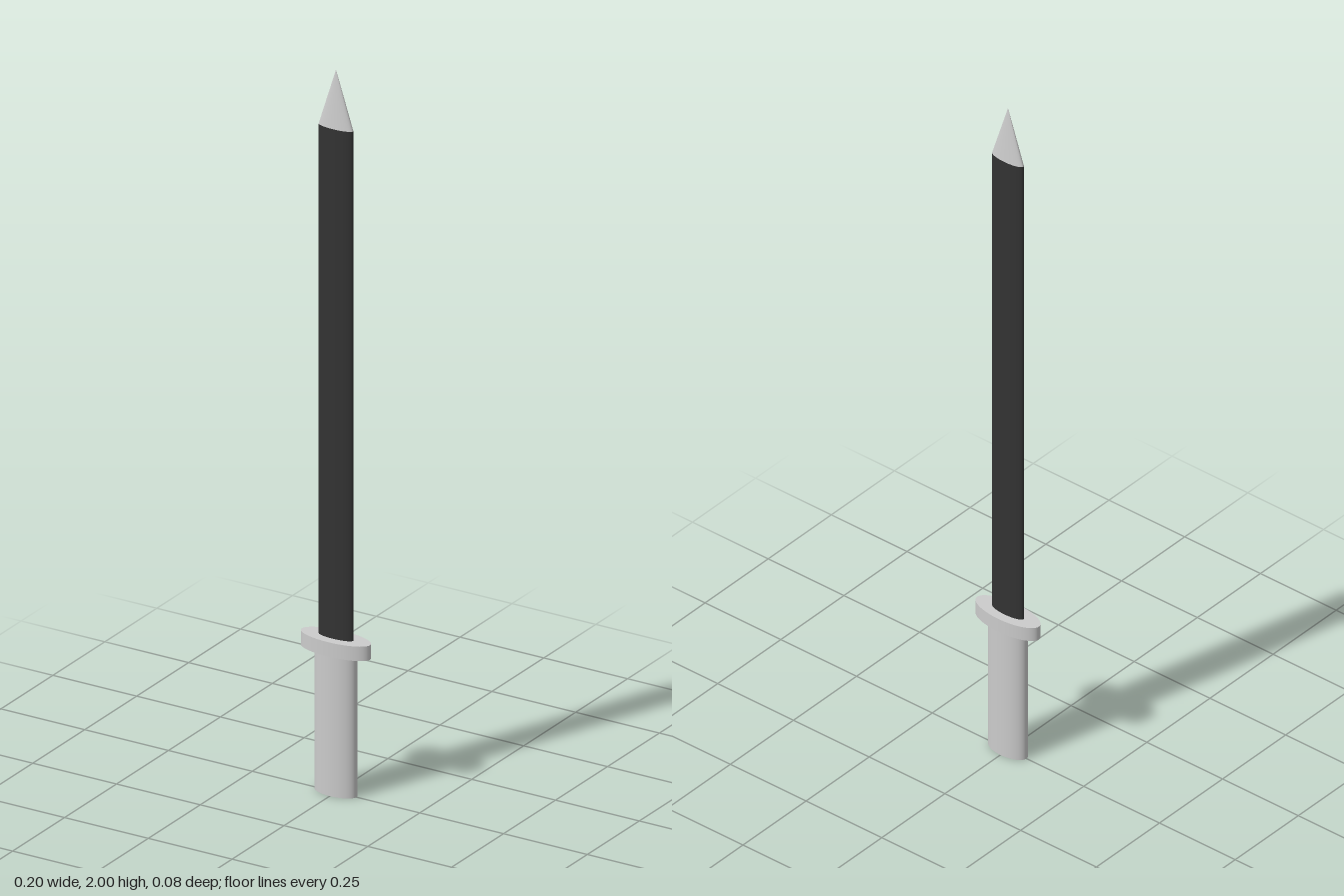
import * as THREE from 'three';

const grey = new THREE.MeshStandardMaterial({ color: 0xcccccc });
const dark = new THREE.MeshStandardMaterial({ color: 0x333333 });

// Upright part with an elliptical cross-section, from y0 to y1
function ellipticPart(name, rx, rz, y0, y1, material, topScale = 1) {
  const geometry = new THREE.CylinderGeometry(topScale, 1, y1 - y0, 64);
  geometry.scale(rx, 1, rz);
  const mesh = new THREE.Mesh(geometry, material);
  mesh.name = name;
  mesh.position.y = (y0 + y1) / 2;
  return mesh;
}

export function createModel() {
  const sword = new THREE.Group();
  sword.name = 'sword';
  sword.add(
    ellipticPart('handle', 0.061, 0.03, 0, 0.39, grey),
    ellipticPart('guard', 0.102, 0.04, 0.39, 0.43, grey),
    ellipticPart('blade', 0.051, 0.015, 0.43, 1.84, dark),
    // Pointed cone closing the blade
    ellipticPart('bladeTip', 0.051, 0.015, 1.84, 2, grey, 0),
  );
  return sword;
}
